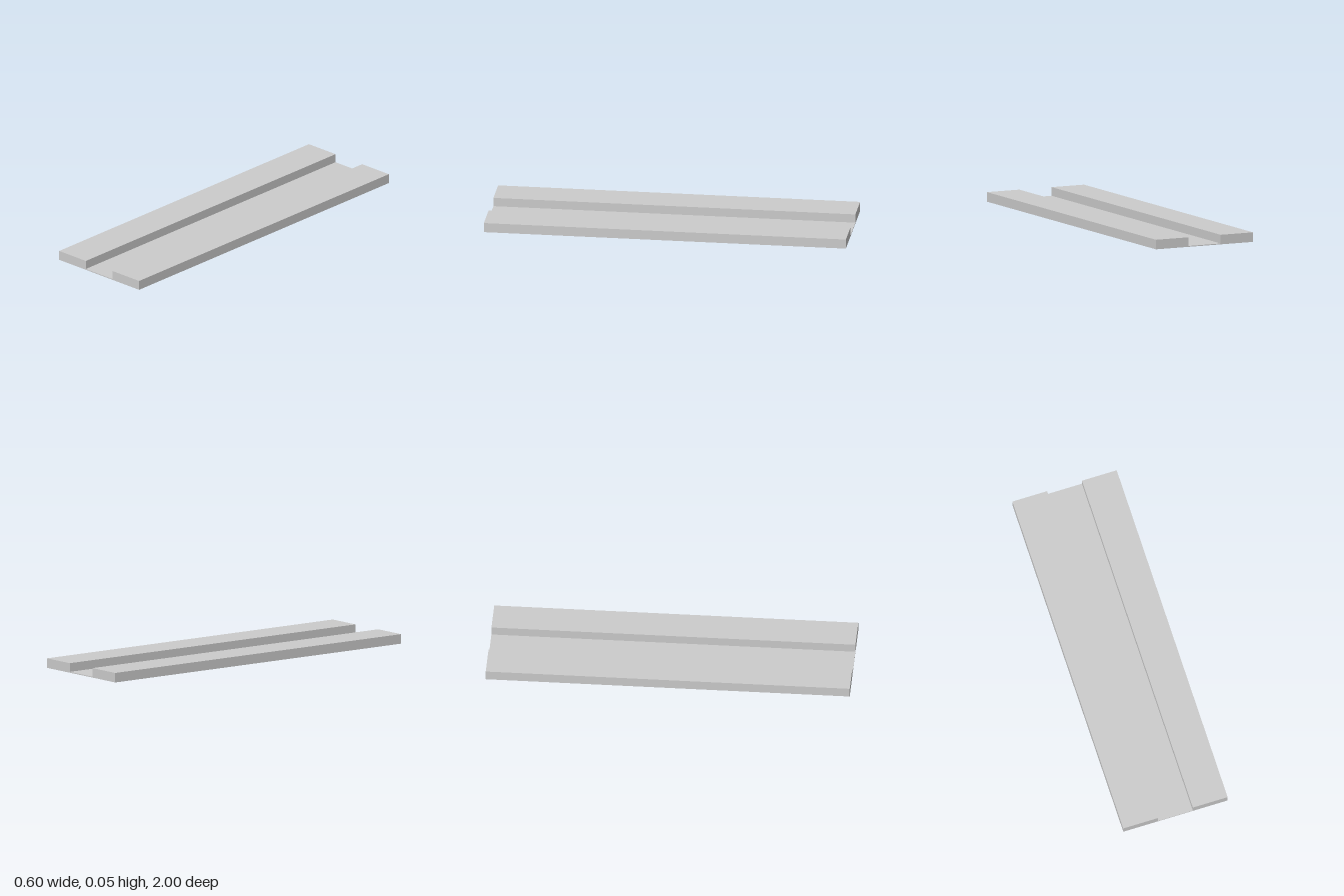
import * as THREE from 'three';

const LENGTH = 2, HALF_WIDTH = 0.3, HALF_CHANNEL = 0.1;
const HEIGHT = 0.053, FLOOR = 0.005;

export function createModel() {
  const group = new THREE.Group();
  group.name = 'channelTrack';
  const material = new THREE.MeshStandardMaterial({ color: 0xcccccc, flatShading: true });

  // Cross-section: two raised side strips joined by a thin channel floor
  const profile = new THREE.Shape([
    [-HALF_WIDTH, 0], [HALF_WIDTH, 0],
    [HALF_WIDTH, HEIGHT], [HALF_CHANNEL, HEIGHT],
    [HALF_CHANNEL, FLOOR], [-HALF_CHANNEL, FLOOR],
    [-HALF_CHANNEL, HEIGHT], [-HALF_WIDTH, HEIGHT],
  ].map(([x, y]) => new THREE.Vector2(x, y)));

  // Run the section along the full length
  const geometry = new THREE.ExtrudeGeometry(profile, { depth: LENGTH, bevelEnabled: false });
  geometry.translate(0, 0, -LENGTH / 2);

  const track = new THREE.Mesh(geometry, material);
  track.name = 'track';
  group.add(track);
  return group;
}
